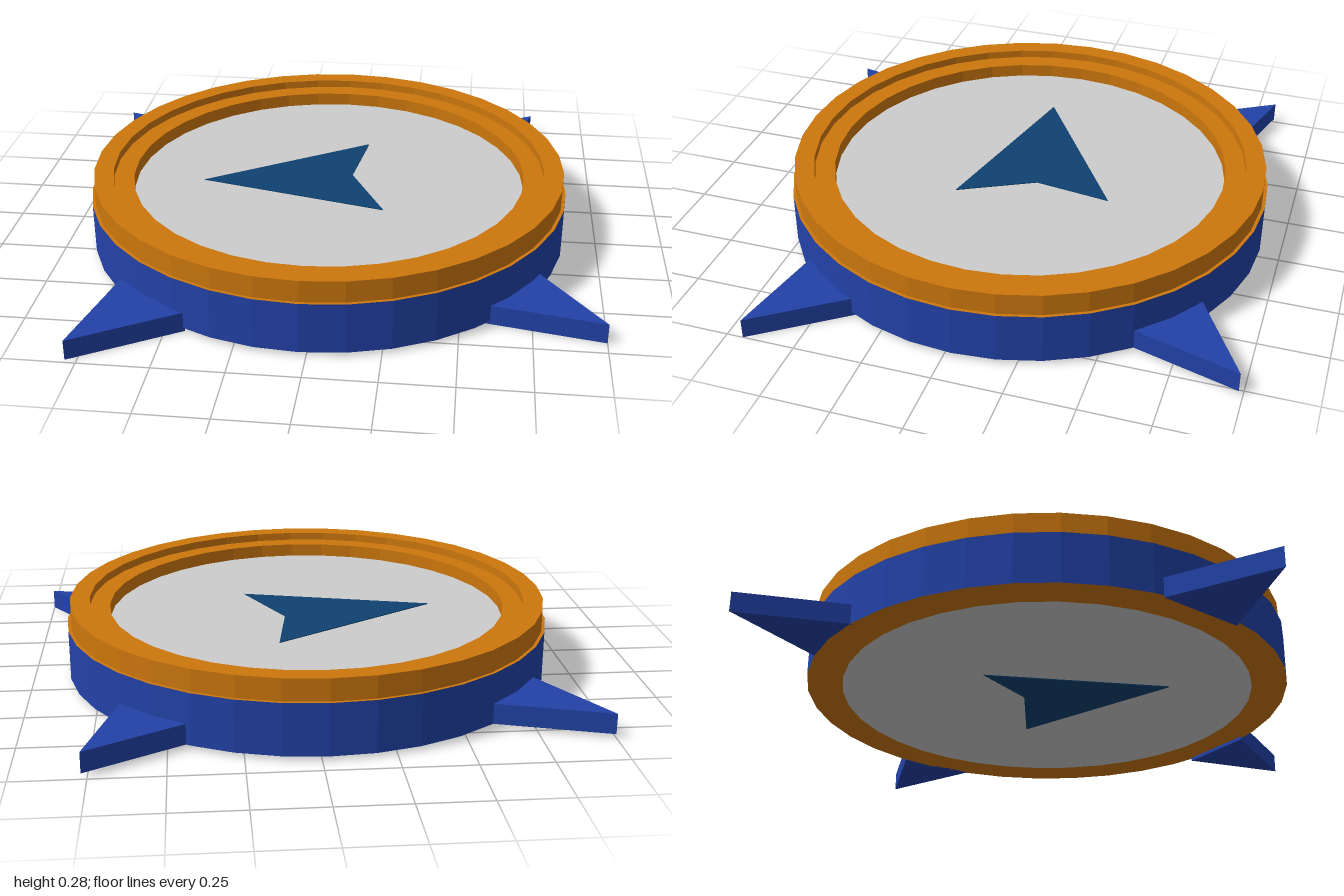
import * as THREE from 'three';

const SEGMENTS = 36;

function material(name, color) {
  const m = new THREE.MeshStandardMaterial({ color });
  m.name = name;
  m.flatShading = true;
  return m;
}

// Vertical prism over an outline of [x, z] corners
function prism(name, outline, bottom, top, mat) {
  const shape = new THREE.Shape(outline.map(([x, z]) => new THREE.Vector2(x, z)));
  const geo = new THREE.ExtrudeGeometry(shape, { depth: top - bottom, bevelEnabled: false });
  geo.rotateX(Math.PI / 2);
  geo.translate(0, top, 0);
  const mesh = new THREE.Mesh(geo, mat);
  mesh.name = name;
  return mesh;
}

function lathe(name, profile, mat) {
  const points = profile.map(([r, y]) => new THREE.Vector2(r, y));
  const mesh = new THREE.Mesh(new THREE.LatheGeometry(points, SEGMENTS), mat);
  mesh.name = name;
  return mesh;
}

export function createModel() {
  const group = new THREE.Group();
  group.name = 'compass';
  const orange = material('orange', 0xcc770d);
  const blue = material('blue', 0x2242a8);
  const grey = material('grey', 0xcccccc);
  const navy = material('navy', 0x0e4270);

  // Round case, its centre slightly off the middle of the four points
  const body = new THREE.Group();
  body.name = 'case';
  body.position.set(-0.025, 0, -0.025);
  body.add(lathe('sideBand', [[0.9, 0.013], [0.9, 0.2]], blue));
  body.add(lathe('steppedRim', [
    [0.9, 0.2], [0.888, 0.2], [0.888, 0.28], [0.815, 0.28],
    [0.815, 0.25], [0.74, 0.25], [0.74, 0.198],
  ], orange));
  body.add(lathe('bottomRing', [[0.77, 0.013], [0.9, 0.013]], orange));

  // Dial, showing on both faces
  const dial = new THREE.Mesh(new THREE.CylinderGeometry(0.74, 0.77, 0.187, SEGMENTS), grey);
  dial.name = 'dial';
  dial.position.y = 0.1065;
  body.add(dial);
  group.add(body);

  // Arrow needles on the top and bottom of the dial
  group.add(prism('topNeedle',
    [[-0.5, 0.02], [0.1, -0.365], [0.06, -0.08], [0.2, 0.195]], 0.198, 0.203, navy));
  group.add(prism('bottomNeedle',
    [[0.02, 0.44], [0.26, -0.2], [-0.045, -0.11], [-0.28, -0.19]], 0.01, 0.015, navy));

  // Four pointed wedges around the case: tip, two base corners, bottom height
  const wedges = [
    ['frontLeftPoint', [[1, 0.69], [0.77, 0.37], [0.59, 0.61]], 0],
    ['frontRightPoint', [[-0.79, 0.985], [-0.7, 0.58], [-0.43, 0.77]], 0],
    ['backRightPoint', [[-1, -0.83], [-0.6, -0.71], [-0.79, -0.47]], 0.013],
    ['backLeftPoint', [[0.77, -0.985], [0.43, -0.79], [0.66, -0.6]], 0.013],
  ];
  for (const [name, outline, y] of wedges) {
    group.add(prism(name, outline, y, y + 0.074, blue));
  }
  return group;
}
